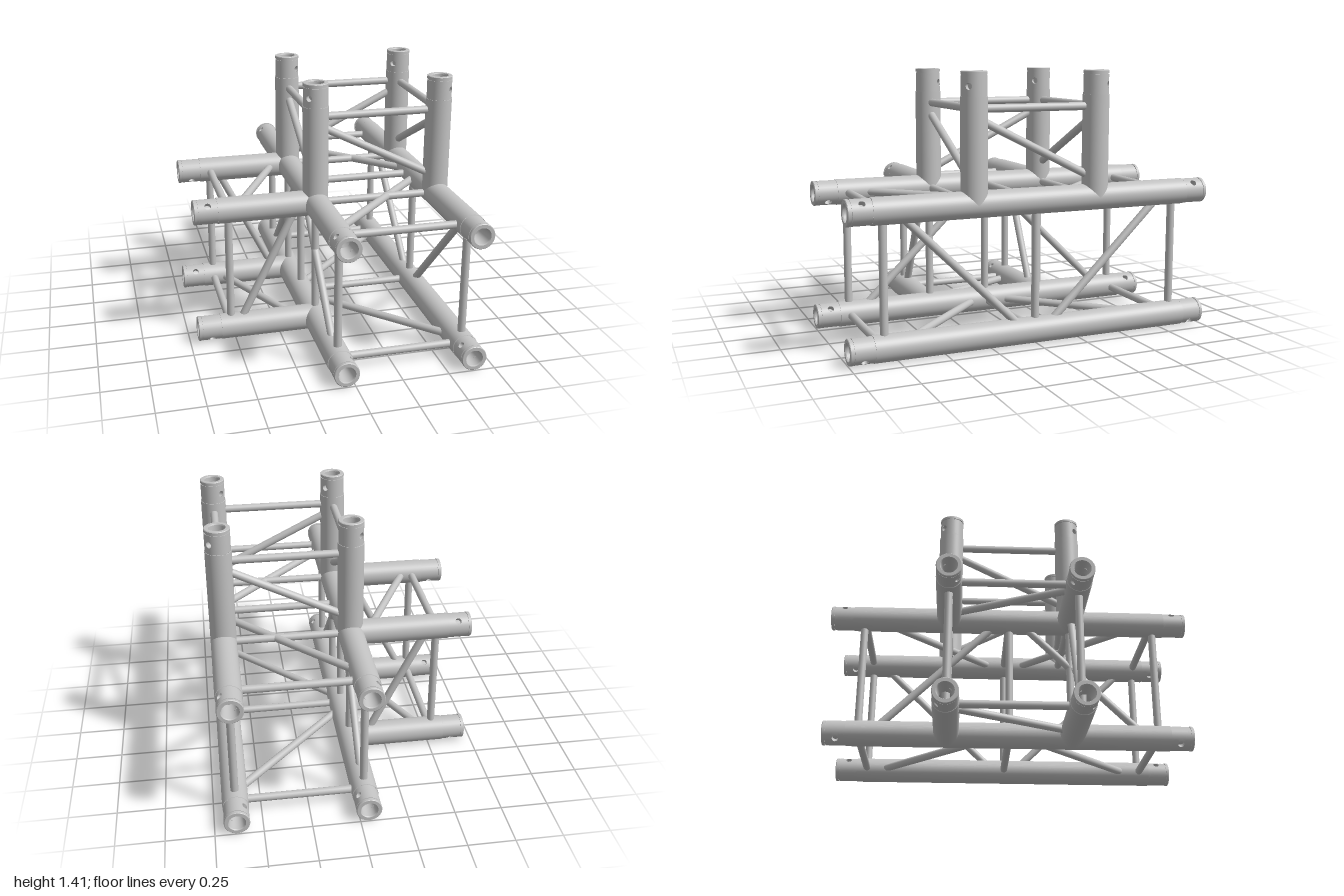
import * as THREE from 'three';
import { mergeGeometries } from 'three/addons/utils/BufferGeometryUtils.js';
import { ParametricGeometry } from 'three/addons/geometries/ParametricGeometry.js';

const R = 0.069;            // chord tube radius
const BAR = 0.021;          // bracing bar radius
const H = 0.34;             // half spacing of the chords
const ARM = 0.66;           // arm length from chord axis to tip
const TUBE_END = 0.535;     // where the tube meets its coupler
const RING = 0.475;         // bracing ring position along an arm
const CX = 0.295, CY = 0.41; // centre of the junction
const SLEEVE_R = 0.066, HOLE_R = 0.017, HOLE_Y = -0.0735;

const aluminium = new THREE.MeshStandardMaterial({ color: 0xc2c2c2, side: THREE.DoubleSide });
aluminium.name = 'aluminium';

function part(name, geometry, parent) {
  const mesh = new THREE.Mesh(geometry, aluminium);
  mesh.name = name;
  parent.add(mesh);
  return mesh;
}

// Round bar between two points
function bar(name, a, b, parent) {
  const from = new THREE.Vector3(...a), to = new THREE.Vector3(...b);
  const dir = to.clone().sub(from);
  const mesh = part(name, new THREE.CylinderGeometry(BAR, BAR, dir.length(), 20), parent);
  mesh.position.copy(from).add(to).multiplyScalar(0.5);
  mesh.quaternion.setFromUnitVectors(new THREE.Vector3(0, 1, 0), dir.normalize());
}

// Turned shape with a sharp edge at every profile point
function turned(points) {
  const rings = [];
  for (let i = 0; i < points.length - 1; i++) {
    rings.push(new THREE.LatheGeometry(
      [new THREE.Vector2(...points[i]), new THREE.Vector2(...points[i + 1])], 40));
  }
  return mergeGeometries(rings);
}

// Half of the coupler sleeve, blended from a round pin hole to its border
function sleeveHalf() {
  const halfHeight = 0.0515;
  const g = new ParametricGeometry((u, v, target) => {
    const a = -u * Math.PI * 2, c = Math.cos(a), s = Math.sin(a);
    const k = 1 / Math.max(Math.abs(c), Math.abs(s));
    const theta = THREE.MathUtils.lerp(c * HOLE_R / SLEEVE_R, c * k * Math.PI / 2, v);
    const y = THREE.MathUtils.lerp(s * HOLE_R, s * k * halfHeight, v);
    target.set(Math.sin(theta) * SLEEVE_R, HOLE_Y + y, Math.cos(theta) * SLEEVE_R);
  }, 64, 6);
  const p = g.attributes.position, n = g.attributes.normal;
  for (let i = 0; i < p.count; i++) n.setXYZ(i, p.getX(i) / SLEEVE_R, 0, p.getZ(i) / SLEEVE_R);
  return g;
}

const sleeveGeometry = sleeveHalf();
const holeGeometry = new THREE.CylinderGeometry(HOLE_R, HOLE_R, 0.028, 24, 1, true)
  .rotateX(Math.PI / 2).translate(0, HOLE_Y, 0.05);
const shoulderGeometry = turned([[R, -0.126], [SLEEVE_R, -0.125]]);
// Groove, end lip, tapered bore and inner face
const lipGeometry = turned([
  [SLEEVE_R, -0.022], [0.063, -0.022], [0.063, -0.017], [0.067, -0.017], [0.067, -0.003],
  [0.064, 0], [0.046, 0], [0.043, -0.006], [0.034, -0.11], [0.064, -0.125],
]);

// End coupler, tip at the origin and body towards -y
function coupler(holeAngle) {
  const group = new THREE.Group();
  group.name = 'endCoupler';
  group.rotation.y = holeAngle;
  part('couplerShoulder', shoulderGeometry, group);
  part('couplerLip', lipGeometry, group);
  for (const turn of [0, Math.PI]) {
    part('couplerSleeve', sleeveGeometry, group).rotation.y = turn;
    part('pinHole', holeGeometry, group).rotation.y = turn;
  }
  return group;
}

// Branch tube whose root is cut to sit on a chord running along z
function branchTube() {
  const g = new THREE.CylinderGeometry(R, R, TUBE_END, 48, 1, true).translate(0, TUBE_END / 2, 0);
  const p = g.attributes.position;
  for (let i = 0; i < p.count; i++) {
    if (p.getY(i) < 0.01) p.setY(i, Math.sqrt(Math.max(0, R * R - p.getX(i) ** 2)));
  }
  return g;
}

const branchGeometry = branchTube();

// Square arm along local +y: couplers and bracing ring, plus tubes and diagonals on a branch
function arm(name, isBranch) {
  const group = new THREE.Group();
  group.name = name;
  const corners = [[-H, H], [H, H], [H, -H], [-H, -H]];
  corners.forEach(([x, z], i) => {
    const [nx, nz] = corners[(i + 1) % 4];
    const end = coupler(Math.sign(x * z) * Math.PI / 4);
    end.position.set(x, ARM, z);
    group.add(end);
    bar('ringBar', [x, RING, z], [nx, RING, nz], group);
    if (isBranch) {
      part('branchTube', branchGeometry, group).position.set(x, 0, z);
      bar('branchDiagonal', [x, 0.435, z], [nx, 0.095, nz], group);
    }
  });
  return group;
}

export function createModel() {
  const model = new THREE.Group();
  model.name = 'trussJunction';
  const x0 = CX - H, x1 = CX + H, y0 = CY - H, y1 = CY + H;

  // Long chords
  const chord = new THREE.CylinderGeometry(R, R, 2 * (H + TUBE_END), 48, 1, true).rotateX(Math.PI / 2);
  for (const x of [x0, x1]) {
    for (const y of [y0, y1]) part('mainChord', chord, model).position.set(x, y, 0);
  }

  // Four arms
  const front = arm('frontArm', false);
  front.position.set(CX, CY, H);
  front.rotation.x = Math.PI / 2;
  const back = arm('backArm', false);
  back.position.set(CX, CY, -H);
  back.rotation.x = -Math.PI / 2;
  const top = arm('topBranch', true);
  top.position.set(CX, y1, 0);
  const side = arm('sideBranch', true);
  side.position.set(x0, CY, 0);
  side.rotation.z = Math.PI / 2;
  model.add(front, back, top, side);

  // Middle ring
  for (const x of [x0, x1]) bar('middlePost', [x, y0, 0], [x, y1, 0], model);
  for (const y of [y0, y1]) bar('middleCrossbar', [x0, y, 0], [x1, y, 0], model);

  for (const s of [-1, 1]) {
    // Bars under the branches
    bar('branchCrossbar', [x0, y1, s * H], [x1, y1, s * H], model);
    bar('branchPost', [x0, y0, s * H], [x0, y1, s * H], model);
    // Diagonals on all four sides of the main body
    const far = s * 0.755, near = s * 0.055;
    bar('leftDiagonal', [x1, y1, far], [x1, y0, near], model);
    bar('rightDiagonal', [x0, y0, far], [x0, y1, near], model);
    bar('topDiagonal', [x0, y1, far], [x1, y1, near], model);
    bar('bottomDiagonal', [x1, y0, far], [x0, y0, near], model);
  }
  return model;
}
